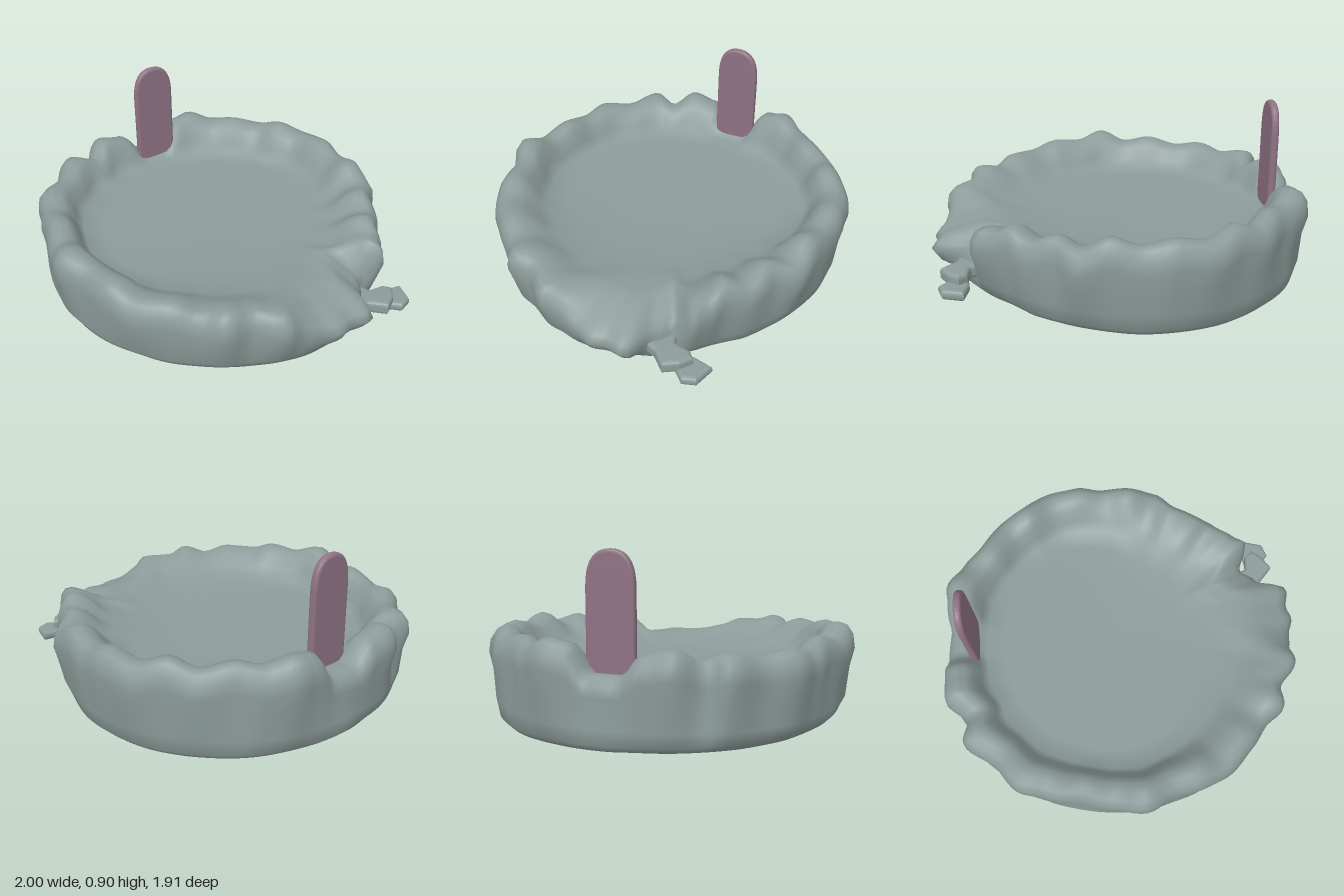
import * as THREE from 'three';

// Rim of the basin: [angle in degrees from +x towards +z, outer radius, crest height]
const RIM = [
  [0, .85, .42], [8, .84, .46], [15, .88, .42], [20, .91, .42], [25, .82, .35],
  [32, .87, .34], [39, 1.01, .34], [45, .97, .345], [49, .985, .35], [55, .95, .36], [61, .94, .38],
  [66, .97, .40], [76, .91, .41], [83, .96, .44], [91, .92, .41], [100, .93, .45],
  [111, .95, .44], [120, .94, .48], [130, .92, .47], [140, .97, .51], [150, .94, .45],
  [160, .93, .48], [171, .96, .44], [180, 1, .46], [190, .97, .44], [201, 1.02, .47],
  [207, .94, .43], [215, 1, .49], [224, .97, .46], [230, .95, .36], [240, .94, .36],
  [246, .96, .49], [253, .99, .51], [262, .96, .47], [270, .93, .49], [281, .95, .46],
  [290, .93, .50], [300, .95, .46], [311, .92, .48], [321, .89, .45], [331, .88, .49],
  [341, .89, .43], [350, .83, .46],
];

// Smooth periodic lookup in the rim table
function rimAt(deg, col) {
  const n = RIM.length;
  const d = ((deg % 360) + 360) % 360;
  let i = n - 1;
  while (RIM[i][0] > d) i--;
  const a = RIM[i], b = RIM[(i + 1) % n];
  const end = i === n - 1 ? 360 : b[0];
  const t = (d - a[0]) / (end - a[0]);
  return THREE.MathUtils.lerp(a[col], b[col], t * t * (3 - 2 * t));
}

// Rim radius averaged over a wide arc, for the calmer base and floor
function calmRadius(deg) {
  let sum = 0;
  for (let k = -20; k <= 20; k += 4) sum += rimAt(deg + k, 1);
  return sum / 11;
}

// Cross-section at one angle, from the underside centre, over the rim, to the floor centre
function section(deg) {
  const { lerp, smoothstep } = THREE.MathUtils;
  const a = deg * Math.PI / 180;
  const c = calmRadius(deg), r = rimAt(deg, 1), h = rimAt(deg, 2);
  const mix = (t) => lerp(c, r, t);
  const base = .022 - .012 * Math.cos(a) + .018 * Math.sin(a);
  // facing is 1 towards the spout side, where walls lean out and the floor rises gently
  const facing = .5 + .5 * Math.cos(a - .7);
  const soft = smoothstep(facing, .35, .85);
  // worn is 1 where the rim has broken down into a ramp
  const worn = smoothstep(deg, 20, 27) * (1 - smoothstep(deg, 48, 68));
  const foot = .98 - .055 * facing;
  const crest = lerp(1, .88, worn);
  const shoulder = lerp(h * .74, .22, worn);
  const floorEdge = .31 + .02 * soft;
  return [
    [0, .02], [c * .5, .02 + (base - .02) * .5], [c * (foot - .08), base], [c * (foot - .035), base + .013],
    [c * foot, base + .045], [mix(.3) * (foot + 1) / 2, .13], [mix(.7) * .985, shoulder * .75],
    [r, shoulder], [r * lerp(.99, .975, worn), lerp(h * .88, .255, worn)],
    [r * lerp(.96, .93, worn), lerp(h * .97, .29, worn)],
    [mix(.8) * .92 * crest, lerp(h, .325, worn)], [mix(.7) * .87 * crest, lerp(h * .985, .34, worn)],
    [mix(.6) * lerp(.83, .81, soft) * crest, lerp(h, floorEdge, .25)],
    [mix(.5) * lerp(.8, .75, soft) * crest, lerp(h, floorEdge, .65)],
    [mix(.3) * lerp(.765, .67, soft) * crest, floorEdge],
    [c * lerp(.66, .52, soft), .302 + .006 * soft], [c * .33, .296], [0, .292],
  ];
}

function basinGeometry(steps = 180) {
  const pos = [], index = [];
  const rings = section(0).length;
  for (let i = 0; i < steps; i++) {
    const deg = i * 360 / steps, a = deg * Math.PI / 180;
    for (const [r, y] of section(deg)) pos.push(r * Math.cos(a), y, r * Math.sin(a));
  }
  for (let i = 0; i < steps; i++) {
    for (let j = 0; j < rings - 1; j++) {
      const a = i * rings + j, b = ((i + 1) % steps) * rings + j;
      if (j > 0) index.push(a, a + 1, b);
      if (j < rings - 2) index.push(b, a + 1, b + 1);
    }
  }
  const g = new THREE.BufferGeometry();
  g.setAttribute('position', new THREE.Float32BufferAttribute(pos, 3));
  g.setIndex(index);
  g.computeVertexNormals();
  return g;
}

// Flat stone chip from an (x, z) outline between two heights
function chip(points, y0, y1, material, name) {
  const shape = new THREE.Shape(points.map(([x, z]) => new THREE.Vector2(x, -z)));
  const bevel = .02;
  const g = new THREE.ExtrudeGeometry(shape, {
    depth: y1 - y0 - 2 * bevel, bevelThickness: bevel, bevelSize: bevel,
    bevelOffset: -bevel, bevelSegments: 3,
  });
  g.rotateX(-Math.PI / 2);
  g.translate(0, y0 + bevel, 0);
  const mesh = new THREE.Mesh(g, material);
  mesh.name = name;
  return mesh;
}

export function createModel() {
  const group = new THREE.Group();
  group.name = 'stoneBasin';
  const stone = new THREE.MeshStandardMaterial({ color: 0x8c9c9a });
  const plum = new THREE.MeshStandardMaterial({ color: 0x8f7284 });

  // Rough bowl with lumpy rim
  const basin = new THREE.Mesh(basinGeometry(), stone);
  basin.name = 'basin';
  group.add(basin);

  // Broken spout at the low part of the rim
  group.add(chip([[.66, .36], [.74, .34], [.79, .37], [.86, .33], [.91, .34], [.91, .41],
    [.88, .49], [.78, .48], [.66, .52]], .125, .195, stone, 'spoutLedge'));
  group.add(chip([[.83, .35], [.87, .31], [.96, .265], [1, .37], [.96, .43], [.85, .42]],
    .10, .15, stone, 'spoutTip'));

  // Upright slab with a rounded top, standing in a gap of the rim
  const w = .118, bevel = .016;
  const outline = new THREE.Shape();
  outline.moveTo(-w, 0);
  outline.lineTo(w, 0);
  outline.lineTo(w, .44);
  outline.bezierCurveTo(w, .57, w * .6, .615, 0, .615);
  outline.bezierCurveTo(-w * .6, .615, -w, .57, -w, .44);
  const slabGeo = new THREE.ExtrudeGeometry(outline, {
    depth: .008, bevelThickness: bevel, bevelSize: bevel, bevelOffset: -bevel,
    bevelSegments: 4, curveSegments: 10,
  });
  slabGeo.translate(0, 0, -.004);
  const slab = new THREE.Mesh(slabGeo, plum);
  slab.name = 'uprightSlab';
  slab.position.set(-.45, .29, -.65);
  slab.rotation.y = .635;
  group.add(slab);

  return group;
}
